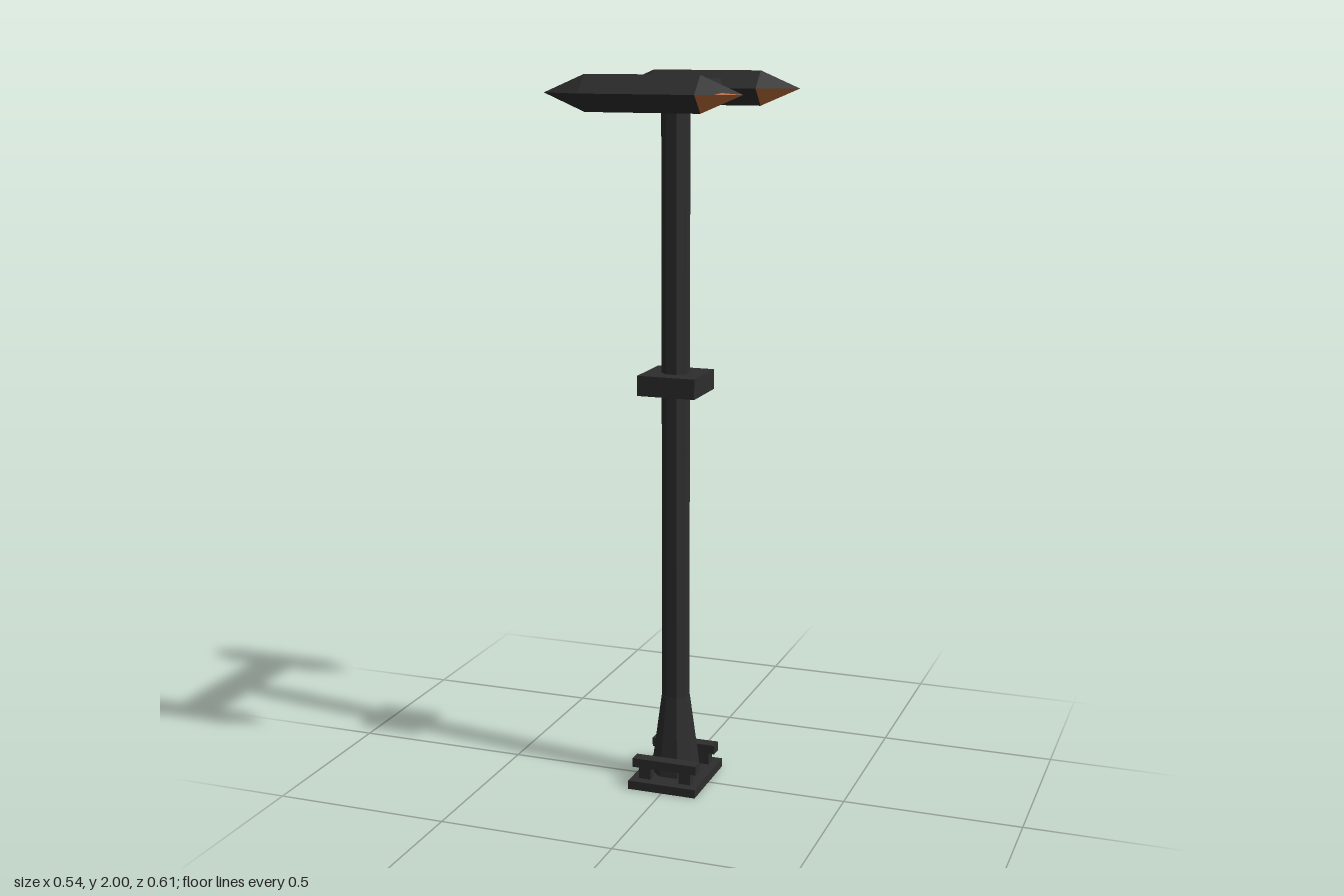
import * as THREE from 'three';

const darkMetal = new THREE.MeshStandardMaterial({ color: 0x2d2d2d });
const orangeGlow = new THREE.MeshStandardMaterial({ color: 0xbd6c3a });
darkMetal.name = 'darkMetal';
orangeGlow.name = 'orangeGlow';

function add(parent, name, geometry, x, y, z, material = darkMetal) {
  const mesh = new THREE.Mesh(geometry, material);
  mesh.name = name;
  mesh.position.set(x, y, z);
  parent.add(mesh);
  return mesh;
}

// Eight-sided column with flats facing the axes; widths are across the flats.
function octagon(topWidth, bottomWidth, height) {
  const k = 0.5 / Math.cos(Math.PI / 8);
  return new THREE.CylinderGeometry(topWidth * k, bottomWidth * k, height, 8)
    .rotateY(Math.PI / 8).toNonIndexed();
}

// Faceted shell around the origin; every face is wound to point outwards.
function shell(faces) {
  const out = [];
  for (const f of faces) {
    for (let i = 1; i < f.length - 1; i++) {
      const t = [f[0], f[i], f[i + 1]];
      const n = t[1].clone().sub(t[0]).cross(t[2].clone().sub(t[0]));
      if (n.dot(t[0]) < 0) t.reverse();
      t.forEach(p => out.push(p.x, p.y, p.z));
    }
  }
  const g = new THREE.BufferGeometry();
  g.setAttribute('position', new THREE.Float32BufferAttribute(out, 3));
  g.computeVertexNormals();
  return g;
}

// Diamond-section lamp with pointed ends and a glowing underside at the left tip.
function makeLamp(side) {
  const r = 0.048, body = 0.157, end = 0.27;
  const P = (x, y, z) => new THREE.Vector3(x, y, z);
  // corners: top, outer edge, bottom, inner edge
  const ring = x => [P(x, r, 0), P(x, 0, side * r), P(x, -r, 0), P(x, 0, -side * r)];
  const a = ring(-body), m = ring(0.03), b = ring(body);
  const tipA = P(-end, 0, 0), tipB = P(end, 0, 0);
  const dark = [], glow = [];
  for (let i = 0; i < 4; i++) {
    const j = (i + 1) % 4;
    const lower = i === 1 || i === 2;
    dark.push([a[i], a[j], tipA], [a[i], a[j], m[j], m[i]]);
    // the rear lamp glows further along its outer underside
    (side < 0 && i === 1 ? glow : dark).push([m[i], m[j], b[j], b[i]]);
    if (i === 0) {
      // a sliver of glow wraps over the outer edge
      const e = b[1].clone().lerp(tipB, 0.4);
      const t = b[0].clone().lerp(tipB, 0.75).lerp(e, 0.6);
      dark.push([b[0], b[1], e], [b[0], e, t], [b[0], t, tipB]);
      glow.push([e, t, tipB]);
    } else {
      (lower ? glow : dark).push([b[i], b[j], tipB]);
    }
  }
  const lamp = new THREE.Group();
  lamp.name = side > 0 ? 'frontLamp' : 'rearLamp';
  add(lamp, 'lampHousing', shell(dark), 0, 0, 0);
  add(lamp, 'lampGlow', shell(glow), 0, 0, 0, orangeGlow);
  lamp.position.set(0, 1.953, side * 0.255);
  return lamp;
}

export function createModel() {
  const model = new THREE.Group();
  model.name = 'streetLamp';

  // Foot plate and its raised brackets
  add(model, 'footPlate', new THREE.BoxGeometry(0.2, 0.025, 0.245), 0, 0.0125, 0);
  for (const s of [-1, 1]) {
    add(model, 'bracketRail', new THREE.BoxGeometry(0.19, 0.026, 0.036), 0, 0.072, s * 0.082);
    for (const x of [-0.06, 0.06]) {
      add(model, 'bracketLeg', new THREE.BoxGeometry(0.035, 0.036, 0.03), x, 0.043, s * 0.08);
    }
  }

  // Flared foot, post and collar
  const parts = [
    ['flaredFoot', octagon(0.074, 0.132, 0.235), 0.1375],
    ['post', octagon(0.072, 0.072, 1.7), 1.1],
  ];
  for (const [name, geometry, y] of parts) {
    geometry.computeVertexNormals();
    add(model, name, geometry, 0, y, 0);
  }
  add(model, 'collar', new THREE.BoxGeometry(0.165, 0.056, 0.165), 0, 1.163, 0);

  // Cross arm, slightly wider along its underside
  const section = new THREE.Shape([
    new THREE.Vector2(-0.059, 1.93), new THREE.Vector2(0.059, 1.93),
    new THREE.Vector2(0.059, 1.955), new THREE.Vector2(0.048, 1.98),
    new THREE.Vector2(-0.048, 1.98), new THREE.Vector2(-0.059, 1.955),
  ]);
  const arm = new THREE.ExtrudeGeometry(section, { depth: 0.47, bevelEnabled: false });
  add(model, 'crossArm', arm, 0, 0, -0.235);

  // Lamps
  for (const s of [1, -1]) model.add(makeLamp(s));
  return model;
}
